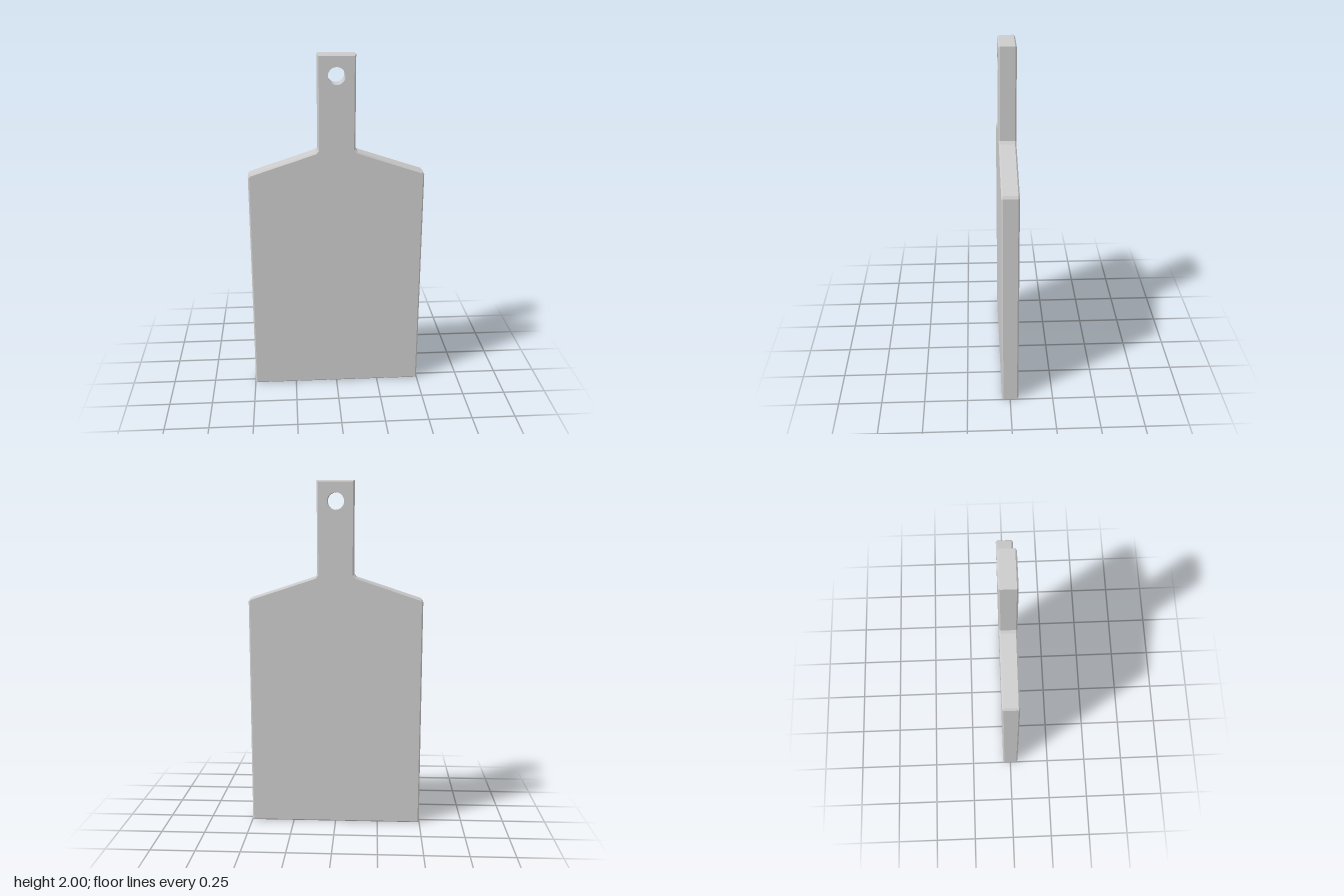
import * as THREE from 'three';
import { toCreasedNormals } from 'three/addons/utils/BufferGeometryUtils.js';

const HALF_THICKNESS = 0.048;
const CHAMFER = 0.008;
const HOLE = { y: 1.885, radius: 0.048 };

// Right half of the board outline, from the bottom up; the left half mirrors it
const HALF_OUTLINE = [
  [0.498, 0], [0.498, 1.324], [0.488, 1.338], // board side and shoulder corner
  [0.118, 1.46], [0.105, 1.475], [0.105, 2],  // neck and handle
];

function boardShape() {
  const left = HALF_OUTLINE.map(([x, y]) => [-x, y]).reverse();
  const shape = new THREE.Shape([...HALF_OUTLINE, ...left].map(([x, y]) => new THREE.Vector2(x, y)));
  const hole = new THREE.Path();
  hole.absarc(0, HOLE.y, HOLE.radius, 0, Math.PI * 2, true);
  shape.holes.push(hole);
  return shape;
}

// Keep the hanging hole straight-walled: pull its bevelled rings to one radius
function straightenHole(geometry) {
  const pos = geometry.attributes.position;
  for (let i = 0; i < pos.count; i++) {
    const dx = pos.getX(i), dy = pos.getY(i) - HOLE.y;
    const r = Math.hypot(dx, dy);
    if (r < HOLE.radius * 1.5) {
      const k = HOLE.radius / r;
      pos.setXY(i, dx * k, HOLE.y + dy * k);
    }
  }
}

export function createModel() {
  const depth = 2 * (HALF_THICKNESS - CHAMFER);
  const geometry = new THREE.ExtrudeGeometry(boardShape(), {
    depth,
    curveSegments: 16,
    bevelEnabled: true,
    bevelSegments: 1,
    bevelThickness: CHAMFER,
    bevelSize: CHAMFER,
    bevelOffset: -CHAMFER,
  });
  geometry.translate(0, 0, -depth / 2);
  straightenHole(geometry);

  const board = new THREE.Mesh(
    toCreasedNormals(geometry, 0.4),
    new THREE.MeshStandardMaterial({ color: 0xcccccc }),
  );
  board.name = 'cuttingBoard';

  const group = new THREE.Group();
  group.name = 'choppingBoardWithHandle';
  group.add(board);
  return group;
}
